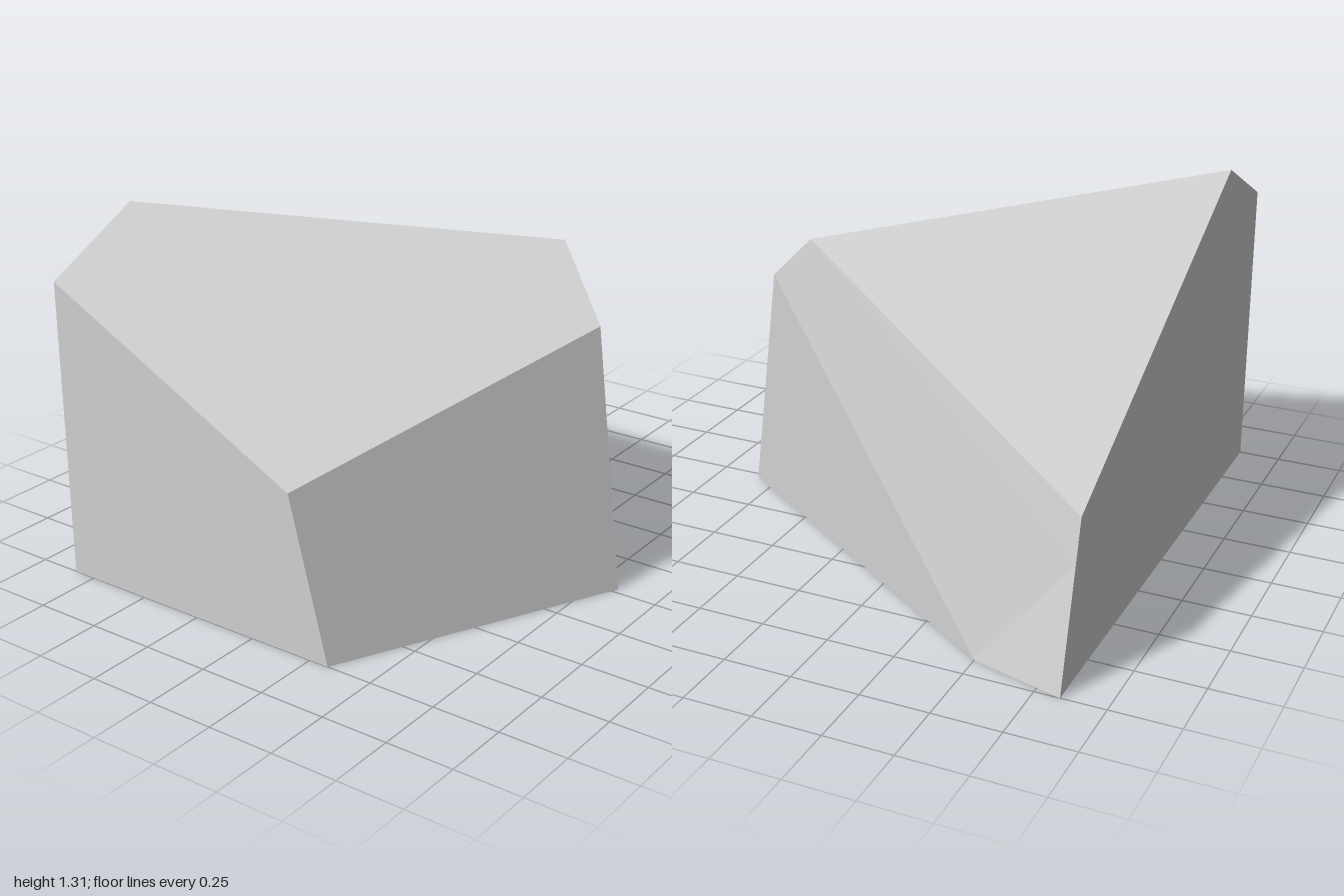
import * as THREE from 'three';

// Corners of the chipped boulder
const P = {
  // footprint
  backLeftFoot: [-1, 0, -0.84], sideFoot: [-1, 0, 0.325], frontFoot: [0.025, 0, 0.838],
  flankFoot: [0.908, 0, -0.5], backFoot: [1, 0, -0.84],
  // upper corners
  sideTop: [-1, 0.59, 0.175], frontTop: [0.148, 0.925, 0.655], crown: [0.318, 1.152, 0.4],
  flankTop: [0.852, 0.577, -0.84], flankMid: [0.89, 0.43, -0.84],
  peak: [-0.612, 1.307, -0.84], backTop: [-1, 1.112, -0.84],
};

// Flat facets, each a counter-clockwise loop of corners
const FACETS = [
  ['sideFoot', 'frontFoot', 'frontTop', 'sideTop'],               // front
  ['frontFoot', 'flankFoot', 'frontTop'],                         // lower flank
  ['crown', 'frontTop', 'flankFoot', 'flankMid', 'flankTop'],     // upper flank
  ['flankFoot', 'backFoot', 'flankMid'],                          // flank tip
  ['crown', 'flankTop', 'peak'],                                  // top
  ['crown', 'peak', 'backTop', 'sideTop', 'frontTop'],            // front slope
  ['backLeftFoot', 'sideFoot', 'sideTop', 'backTop'],             // side
  ['backFoot', 'backLeftFoot', 'backTop', 'peak', 'flankTop', 'flankMid'], // back
  ['backLeftFoot', 'backFoot', 'flankFoot', 'frontFoot', 'sideFoot'],      // underside
];

// Fans each facet into triangles that share the facet's average normal
function facetGeometry(facets) {
  const positions = [], normals = [];
  for (const names of facets) {
    const loop = names.map((n) => new THREE.Vector3(...P[n]));
    const normal = new THREE.Vector3();
    for (let i = 1; i < loop.length - 1; i++) {
      const a = loop[i].clone().sub(loop[0]);
      normal.add(a.cross(loop[i + 1].clone().sub(loop[0])));
    }
    normal.normalize();
    for (let i = 1; i < loop.length - 1; i++) {
      for (const v of [loop[0], loop[i], loop[i + 1]]) {
        positions.push(v.x, v.y, v.z);
        normals.push(normal.x, normal.y, normal.z);
      }
    }
  }
  const geometry = new THREE.BufferGeometry();
  geometry.setAttribute('position', new THREE.Float32BufferAttribute(positions, 3));
  geometry.setAttribute('normal', new THREE.Float32BufferAttribute(normals, 3));
  return geometry;
}

export function createModel() {
  const stone = new THREE.MeshStandardMaterial({ color: 0xd2d2d2 });
  stone.name = 'pale stone grey';

  const rock = new THREE.Mesh(facetGeometry(FACETS), stone);
  rock.name = 'rock';

  const group = new THREE.Group();
  group.name = 'boulder';
  group.add(rock);
  return group;
}
